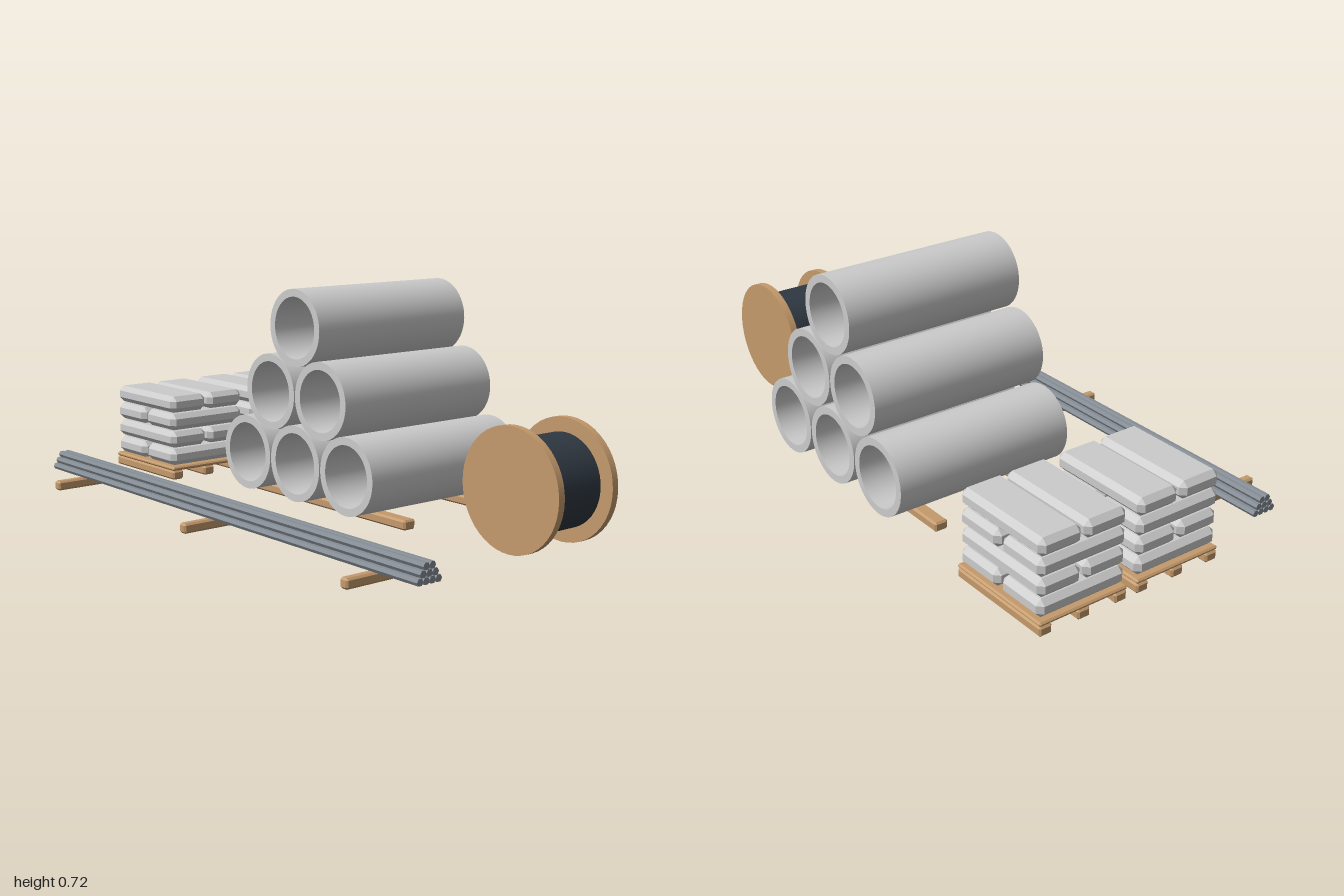
import * as THREE from 'three';
import { toCreasedNormals } from 'three/addons/utils/BufferGeometryUtils.js';
import { ConvexGeometry } from 'three/addons/geometries/ConvexGeometry.js';

const grey = new THREE.MeshStandardMaterial({ color: 0xcccccc });
const wood = new THREE.MeshStandardMaterial({ color: 0xc49a6c });
const cable = new THREE.MeshStandardMaterial({ color: 0x2f3842 });
const steel = new THREE.MeshStandardMaterial({ color: 0x858d95, flatShading: true });

function add(parent, name, geometry, material, x, y, z) {
  const mesh = new THREE.Mesh(geometry, material);
  mesh.name = name;
  mesh.position.set(x, y, z);
  parent.add(mesh);
  return mesh;
}

function group(parent, name, x = 0, y = 0, z = 0) {
  const g = new THREE.Group();
  g.name = name;
  g.position.set(x, y, z);
  parent.add(g);
  return g;
}

// Box with every edge cut at 45 degrees
function chamferBox(w, h, d, c) {
  const points = [];
  for (const sx of [-1, 1]) for (const sy of [-1, 1]) for (const sz of [-1, 1]) {
    const [x, y, z] = [w / 2, h / 2, d / 2];
    points.push(
      new THREE.Vector3(sx * x, sy * (y - c), sz * (z - c)),
      new THREE.Vector3(sx * (x - c), sy * y, sz * (z - c)),
      new THREE.Vector3(sx * (x - c), sy * (y - c), sz * z));
  }
  return new ConvexGeometry(points);
}

// Hollow concrete pipe along z
function pipeGeometry(outer, inner, length) {
  const ring = new THREE.Shape().absarc(0, 0, outer, 0, Math.PI * 2);
  ring.holes.push(new THREE.Path().absarc(0, 0, inner, 0, Math.PI * 2, true));
  const g = new THREE.ExtrudeGeometry(ring, { depth: length, bevelEnabled: false, curveSegments: 24 });
  g.translate(0, 0, -length / 2);
  return toCreasedNormals(g, 0.6);
}

function buildPipes(parent) {
  const stack = group(parent, 'pipeStack', 0.011, 0, -0.224);
  const pitch = 0.2545;
  const pipe = pipeGeometry(0.125, 0.1, 0.634);
  for (let row = 0; row < 3; row++)
    for (let i = 0; i < 3 - row; i++)
      add(stack, 'pipe', pipe, grey, (i - (2 - row) / 2) * pitch, 0.159 + row * pitch * 0.866, 0);
  const timber = chamferBox(0.818, 0.032, 0.047, 0.006);
  for (const z of [-0.19, 0.19]) add(stack, 'pipeTimber', timber, wood, 0.003, 0.017, z);
}

function buildPallet(parent, z) {
  const pallet = group(parent, 'sackPallet', -0.813, 0, z);
  const runner = chamferBox(0.374, 0.032, 0.044, 0.006);
  for (const k of [-1, 0, 1]) add(pallet, 'palletRunner', runner, wood, 0, 0.017, k * 0.134);
  add(pallet, 'palletDeck', chamferBox(0.374, 0.014, 0.313, 0.005), wood, 0, 0.04, 0);

  // Sacks change direction from layer to layer
  const along = chamferBox(0.365, 0.058, 0.148, 0.017);
  const across = chamferBox(0.176, 0.058, 0.308, 0.017);
  for (let layer = 0; layer < 4; layer++) {
    const y = 0.079 + layer * 0.063;
    for (const s of [-1, 1]) {
      if (layer % 2) add(pallet, 'sack', along, grey, 0, y, s * 0.079);
      else add(pallet, 'sack', across, grey, s * 0.094, y, 0);
    }
  }
}

function buildSpool(parent) {
  const spool = group(parent, 'cableSpool', 0.808, 0.19, -0.191);
  const flange = new THREE.CylinderGeometry(0.19, 0.19, 0.024, 48).rotateX(Math.PI / 2);
  for (const s of [-1, 1]) add(spool, 'spoolFlange', flange, wood, 0, 0, s * 0.115);
  const drum = new THREE.CylinderGeometry(0.145, 0.145, 0.21, 48).rotateX(Math.PI / 2);
  add(spool, 'woundCable', drum, cable, 0, 0, 0);
}

function buildBars(parent) {
  const bundle = group(parent, 'barBundle', 0.013, 0, 0.396);
  // Hexagonal bars with a flat side down
  const bar = new THREE.CylinderGeometry(0.0115, 0.0115, 1.899, 6).rotateZ(Math.PI / 2);
  for (let row = 0; row < 3; row++)
    for (let i = 0; i < 4 - row; i++)
      add(bundle, 'steelBar', bar, steel, 0, 0.043 + row * 0.0202, (i - (3 - row) / 2) * 0.0225);
  const bearer = chamferBox(0.031, 0.032, 0.281, 0.006);
  for (const k of [-1, 0, 1]) add(bundle, 'barBearer', bearer, wood, k * 0.762, 0.017, -0.001);
}

export function createModel() {
  const model = new THREE.Group();
  model.name = 'buildingMaterials';
  buildPipes(model);
  buildPallet(model, -0.02);
  buildPallet(model, -0.369);
  buildSpool(model);
  buildBars(model);
  return model;
}
